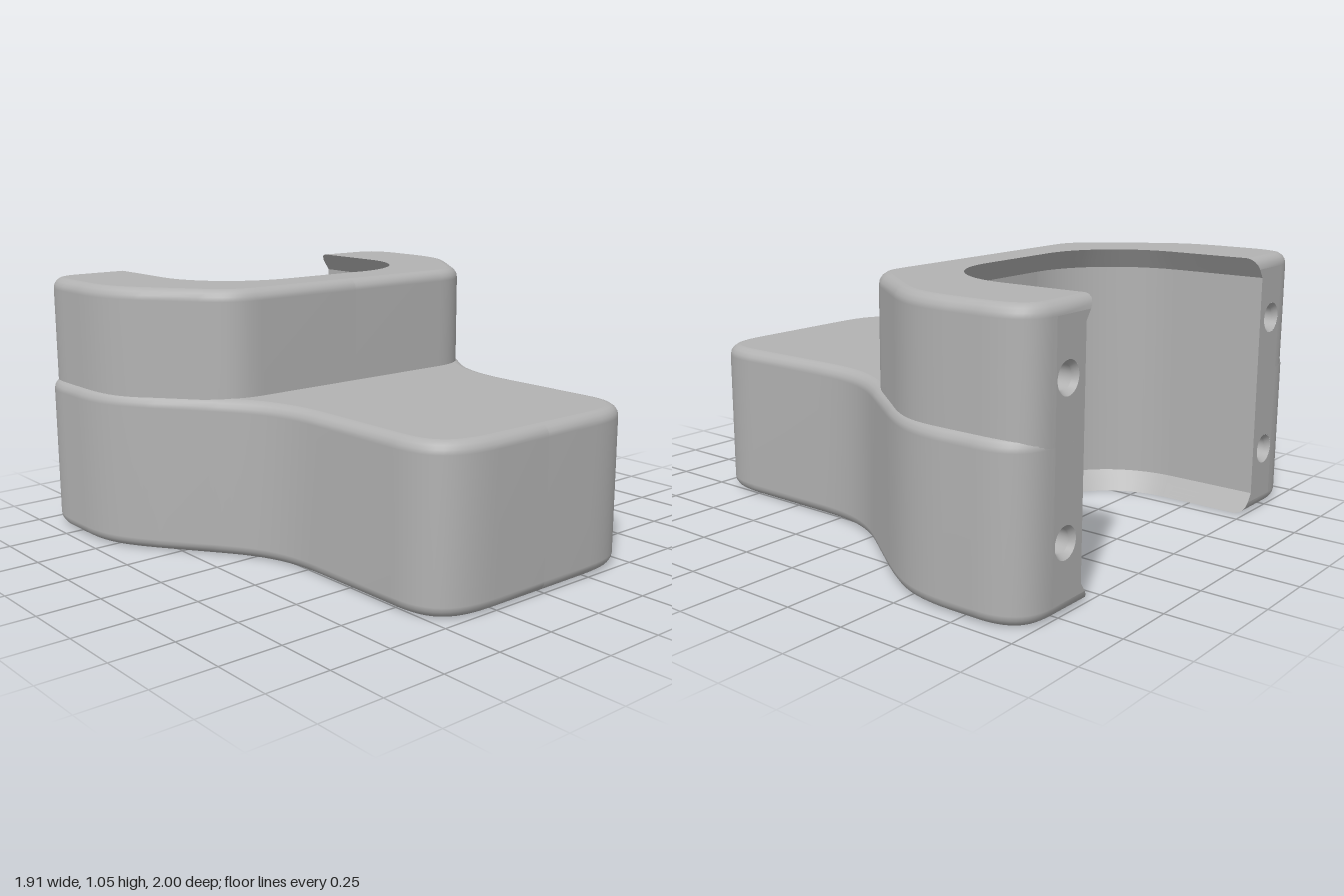
import * as THREE from 'three';
import { toCreasedNormals } from 'three/addons/utils/BufferGeometryUtils.js';

const H_LOW = 0.63, H = 1.05, R = 0.045;            // shelf height, full height, edge fillet
const LIP = 0.055, LIP_H = 0.08;                    // bore lip depth and chamfer height
const BORE_X = 0.565, BORE_R = 0.36, BORE_Z = -0.26, BACK = -1;
const HOLE_Z = 0.46, HOLE_R = 0.085, FLOOR = 0.21;  // cable hole and channel floor
const HOUSE = [[-0.15, FLOOR], [-0.15, 0.38], [0, 0.5], [0.15, 0.38], [0.15, FLOOR]];

const v2 = (a) => a.map(([x, y]) => new THREE.Vector2(x, y));
const mirrorX = (half) => half.map(([x, z]) => [-x, z]).reverse();
const lipOffset = (y) => LIP * Math.min(1, y / LIP_H, (H - y) / LIP_H);

// Surface joining equal-length rows of [x, y, z]
function strip(rows, flip, skip = () => false) {
  const n = rows[0].length, index = [];
  for (let i = 0; i < rows.length - 1; i++) {
    for (let j = 0; j < n - 1; j++) {
      if (skip(i, j)) continue;
      const a = i * n + j, b = a + 1, d = a + n, c = d + 1;
      index.push(...(flip ? [a, d, b, b, d, c] : [a, b, d, b, c, d]));
    }
  }
  const g = new THREE.BufferGeometry();
  g.setAttribute('position', new THREE.Float32BufferAttribute(rows.flat(2), 3));
  g.setIndex(index);
  g.computeVertexNormals();
  return g;
}

// Flat polygon with holes given as paths
function plate(points, holes = []) {
  const s = new THREE.Shape(v2(points));
  s.holes.push(...holes);
  return new THREE.ShapeGeometry(s, 24);
}
const circle = (x, y, r) => new THREE.Path().absarc(x, y, r, 0, Math.PI * 2, true);

// Horizontal plate from [x, z] points, facing up or down
function cap(points, y, up, circles = []) {
  const s = up ? -1 : 1;
  const g = plate(points.map(([x, z]) => [x, s * z]), circles.map(([x, z, r]) => circle(x, s * z, r)));
  return g.rotateX(s * Math.PI / 2).translate(0, y, 0);
}

// Half outline from the back of the arm to the front centre, then mirrored
function outline(draw) {
  const p = new THREE.Path();
  p.moveTo(BORE_X, BACK);
  p.lineTo(0.78, BACK);
  draw(p);
  const half = p.getPoints(12).map((q) => [q.x, q.y]);
  return [...half, ...mirrorX(half)];
}

// Outline at height y, pulled inward by d; its ends meet the bore
function outerRow(pts, y, d) {
  const last = pts.length - 1;
  return pts.map(([x, z], j) => {
    const a = pts[Math.max(0, j - 1)], b = pts[Math.min(last, j + 1)];
    const tx = b[0] - a[0], tz = b[1] - a[1], l = Math.hypot(tx, tz);
    const px = j === 0 || j === last ? Math.sign(x) * (BORE_X + lipOffset(y)) : x - tz / l * d;
    return [px, y, z + tx / l * d];
  });
}

// U-shaped bore at height y
function boreRow(y, d) {
  const o = lipOffset(y), half = [[BORE_X + o, BACK + d]];
  for (let k = 0; k <= 12; k++) {
    const a = k / 12 * Math.PI / 2;
    half.push([BORE_X - BORE_R + Math.cos(a) * (BORE_R + o), BORE_Z - BORE_R + Math.sin(a) * (BORE_R + o)]);
  }
  return [...half, ...mirrorX(half)].map(([x, z]) => [x, y, z]);
}

// Height and inset pairs of a rounded edge
const STEPS = [0, 1, 2, 3, 4].map((k) => k / 4 * Math.PI / 2);
const bottomEdge = STEPS.map((a) => [R - R * Math.cos(a), R - R * Math.sin(a)]);
const topEdge = (h) => STEPS.map((a) => [h - R + R * Math.sin(a), R - R * Math.cos(a)]);

// Closed cap contour between an outer row and the bore
const contour = (outer, bore) => [...outer, ...bore.slice(1, -1).reverse()].map(([x, , z]) => [x, z]);

// Inward-facing drilled hole along +y, with a small countersink
function drill(r, depth, blind) {
  const profile = [[r, depth], [r, 0.02], [r + 0.015, 0]];
  if (blind) profile.unshift([0, depth]);
  return toCreasedNormals(new THREE.LatheGeometry(v2(profile), 24), 0.5);
}

export function createModel() {
  const group = new THREE.Group();
  const grey = new THREE.MeshStandardMaterial({ color: 0xb2b2b2 });
  grey.name = 'grey';
  const add = (name, g) => {
    const m = new THREE.Mesh(g, grey);
    m.name = name;
    group.add(m);
    return m;
  };

  const lower = outline((p) => {
    p.bezierCurveTo(0.9, -1, 0.955, -0.93, 0.955, -0.8);
    p.lineTo(0.955, -0.68);
    p.bezierCurveTo(0.955, -0.52, 0.91, -0.44, 0.82, -0.31);
    p.lineTo(0.69, -0.13);
    p.bezierCurveTo(0.58, 0.02, 0.525, 0.12, 0.525, 0.34);
    p.lineTo(0.525, 0.75);
    p.bezierCurveTo(0.525, 0.93, 0.45, 1, 0.25, 1);
    p.lineTo(0.001, 1);
  });
  const upper = outline((p) => {
    p.bezierCurveTo(0.88, -1, 0.93, -0.94, 0.93, -0.8);
    p.lineTo(0.93, -0.68);
    p.bezierCurveTo(0.93, -0.53, 0.9, -0.46, 0.83, -0.36);
    p.lineTo(0.69, -0.17);
    p.bezierCurveTo(0.62, -0.08, 0.57, -0.055, 0.47, -0.055);
    p.lineTo(0.001, -0.055);
  });

  // Outer walls with rounded edges; the flat arm ends are left open for the end plates
  const wall = (name, pts, levels, main) => {
    const rows = levels.map(([y, d]) => outerRow(pts, y, d));
    add(name, strip(rows, true, (i, j) => i === main && (j === 0 || j === pts.length - 2)));
    return rows;
  };
  const lowRows = wall('baseWall', lower, [...bottomEdge, ...topEdge(H_LOW)], 4);
  const upRows = wall('collarWall', upper, [[0.5, 0], ...topEdge(H)], 0);

  // Bottom, shelf and collar top
  const screws = [-0.26, 0.26].flatMap((x) => [-0.26, 0.26].map((z) => [x, HOLE_Z + z]));
  add('bottom', cap(contour(lowRows[0], boreRow(0, R)), 0, false,
    [[0, HOLE_Z, HOLE_R + 0.015], ...screws.map(([x, z]) => [x, z, 0.065])]));
  add('shelf', cap(contour(lowRows.at(-1), boreRow(H_LOW, R)), H_LOW, true));
  add('collarTop', cap(contour(upRows.at(-1), boreRow(H, R)), H, true));

  // Bore with chamfered lips; its flat front is a plate with the channel opening
  const levels = [...bottomEdge, [LIP_H, 0], [H - LIP_H, 0], ...topEdge(H)];
  const bore = strip(levels.map(([y, d]) => boreRow(y, d)), false, (i, j) => i === 5 && j === 13);
  add('bore', toCreasedNormals(bore, 0.4));
  const fx = BORE_X - BORE_R, fz = BORE_Z + LIP;
  add('boreFront', plate([[-fx, LIP_H], [fx, LIP_H], [fx, H - LIP_H], [-fx, H - LIP_H]],
    [new THREE.Path(v2(HOUSE))]).rotateY(Math.PI).translate(0, 0, fz));

  // Arm end plates with two blind screw holes each
  const ix = BORE_X + LIP, lx = BORE_X + lipOffset(R);
  for (const s of [-1, 1]) {
    const edge = [[lx, R], [ix, LIP_H], [ix, H - LIP_H], [lx, H - R], [0.78, H - R], [0.78, R]];
    add('armEnd', plate(edge.map(([x, y]) => [s * x, y]),
      [0.25, 0.8].map((y) => circle(s * 0.715, y, 0.06))).rotateY(Math.PI).translate(0, 0, BACK));
    for (const y of [0.25, 0.8]) {
      add('armScrewHole', drill(0.045, 0.35, true).rotateX(Math.PI / 2)).position.set(-s * 0.715, y, BACK);
    }
  }

  // Holes in the bottom
  for (const [x, z] of screws) add('baseScrewHole', drill(0.05, 0.18, true)).position.set(x, 0, z);
  add('cableHole', drill(HOLE_R, FLOOR, false)).position.z = HOLE_Z;

  // House-shaped cable channel from the bore to the cable hole
  const end = HOLE_Z + 0.15;
  const sides = strip([fz, end].map((z) => HOUSE.map(([x, y]) => [x, y, z])), false);
  add('channelWalls', toCreasedNormals(sides, 0.3));
  add('channelFloor', cap([[-0.15, fz], [0.15, fz], [0.15, end], [-0.15, end]], FLOOR, true, [[0, HOLE_Z, HOLE_R]]));
  add('channelEnd', plate(HOUSE).rotateY(Math.PI).translate(0, 0, end));

  return group;
}
